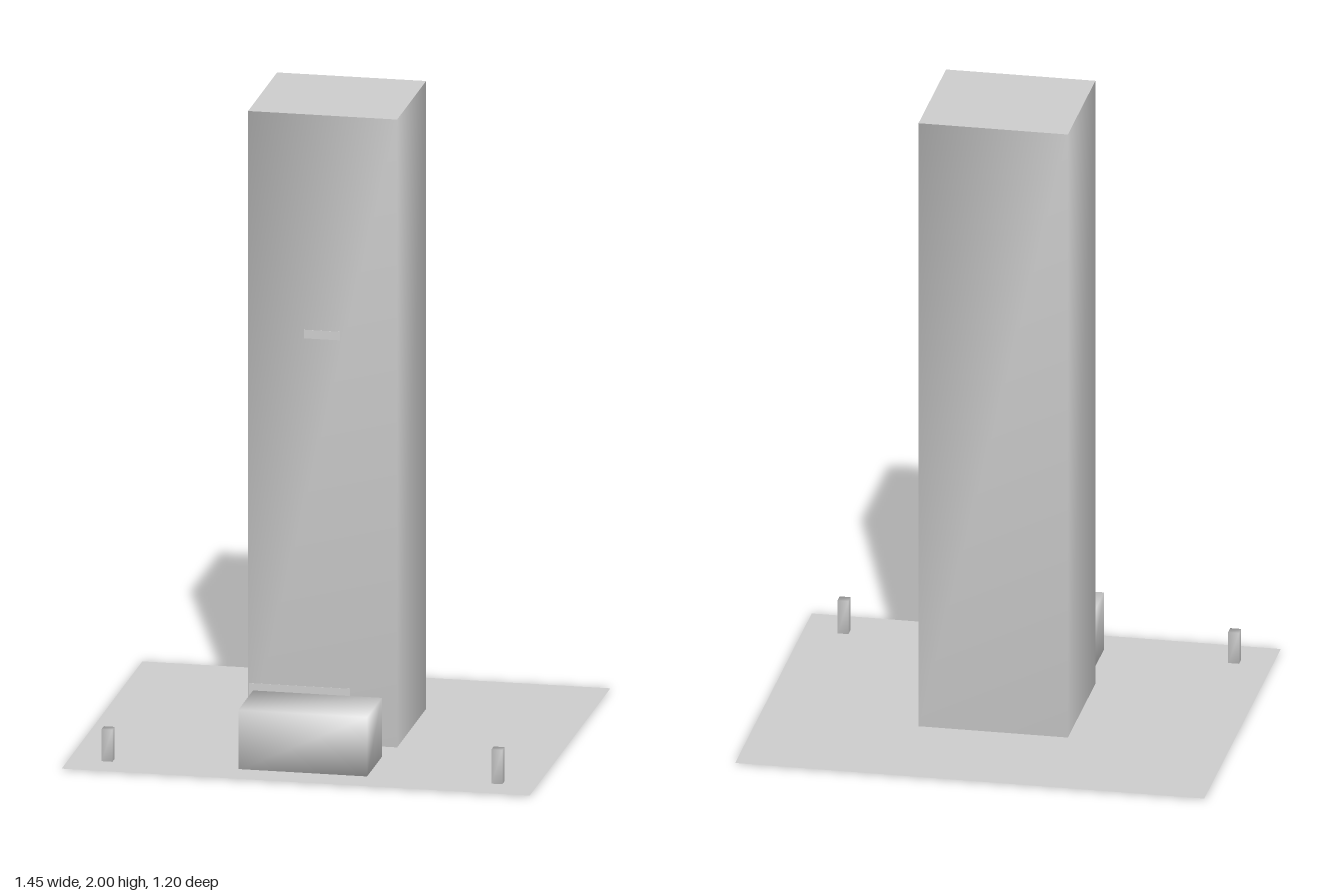
import * as THREE from 'three';
import { mergeVertices } from 'three/addons/utils/BufferGeometryUtils.js';

const concrete = new THREE.MeshStandardMaterial({ color: 0xcccccc });
concrete.name = 'light grey';
const concreteTwoSided = new THREE.MeshStandardMaterial({ color: 0xcccccc, side: THREE.DoubleSide });
concreteTwoSided.name = 'light grey sheet';

// Share corner vertices so the shading runs smoothly round the edges
function soften(geometry) {
  geometry.deleteAttribute('uv');
  geometry.deleteAttribute('normal');
  const merged = mergeVertices(geometry, 1e-4);
  merged.computeVertexNormals();
  return merged;
}

function place(geometry, name, material = concrete) {
  const mesh = new THREE.Mesh(geometry, material);
  mesh.name = name;
  return mesh;
}

// Box given by its limits on each axis
function boxBetween([x0, x1], [y0, y1], [z0, z1]) {
  return new THREE.BoxGeometry(x1 - x0, y1 - y0, z1 - z0)
    .translate((x0 + x1) / 2, (y0 + y1) / 2, (z0 + z1) / 2);
}

export function createModel() {
  const model = new THREE.Group();
  model.name = 'towerBlock';

  // Paved plot
  const plot = new THREE.PlaneGeometry(1.454, 1.204).rotateX(-Math.PI / 2).translate(0, 0.003, 0);
  model.add(place(plot, 'plot', concreteTwoSided));

  // Tower: softened walls with flat roof and floor
  const width = 0.463, depth = 0.433, bottom = 0.013, top = 2, centreZ = -0.0165;
  const height = top - bottom;
  const tower = new THREE.Group();
  tower.name = 'tower';
  const walls = new THREE.CylinderGeometry(Math.SQRT1_2, Math.SQRT1_2, 1, 4, 1, true, Math.PI / 4);
  walls.scale(width, height, depth).translate(0, bottom + height / 2, centreZ);
  tower.add(place(soften(walls), 'walls'));
  for (const [name, y, turn] of [['roof', top, -1], ['floor', bottom, 1]]) {
    const slab = new THREE.PlaneGeometry(width, depth).rotateX(turn * Math.PI / 2).translate(0, y, centreZ);
    tower.add(place(slab, name));
  }

  // Thin plates on the front wall
  tower.add(place(boxBetween([-0.058, 0.054], [1.291, 1.318], [0.198, 0.201]), 'signPlate'));
  tower.add(place(boxBetween([-0.228, 0.085], [0.015, 0.19], [0.198, 0.201]), 'entrancePanel'));
  model.add(tower);

  // Low entrance block in front of the tower
  model.add(place(soften(boxBetween([-0.2, 0.2], [0, 0.19], [0.278, 0.497])), 'entranceBlock'));

  // Posts at the front corners
  model.add(place(soften(boxBetween([-0.625, -0.591], [0, 0.104], [0.463, 0.497])), 'rightPost'));
  model.add(place(soften(boxBetween([0.586, 0.62], [0, 0.111], [0.463, 0.497])), 'leftPost'));

  return model;
}
